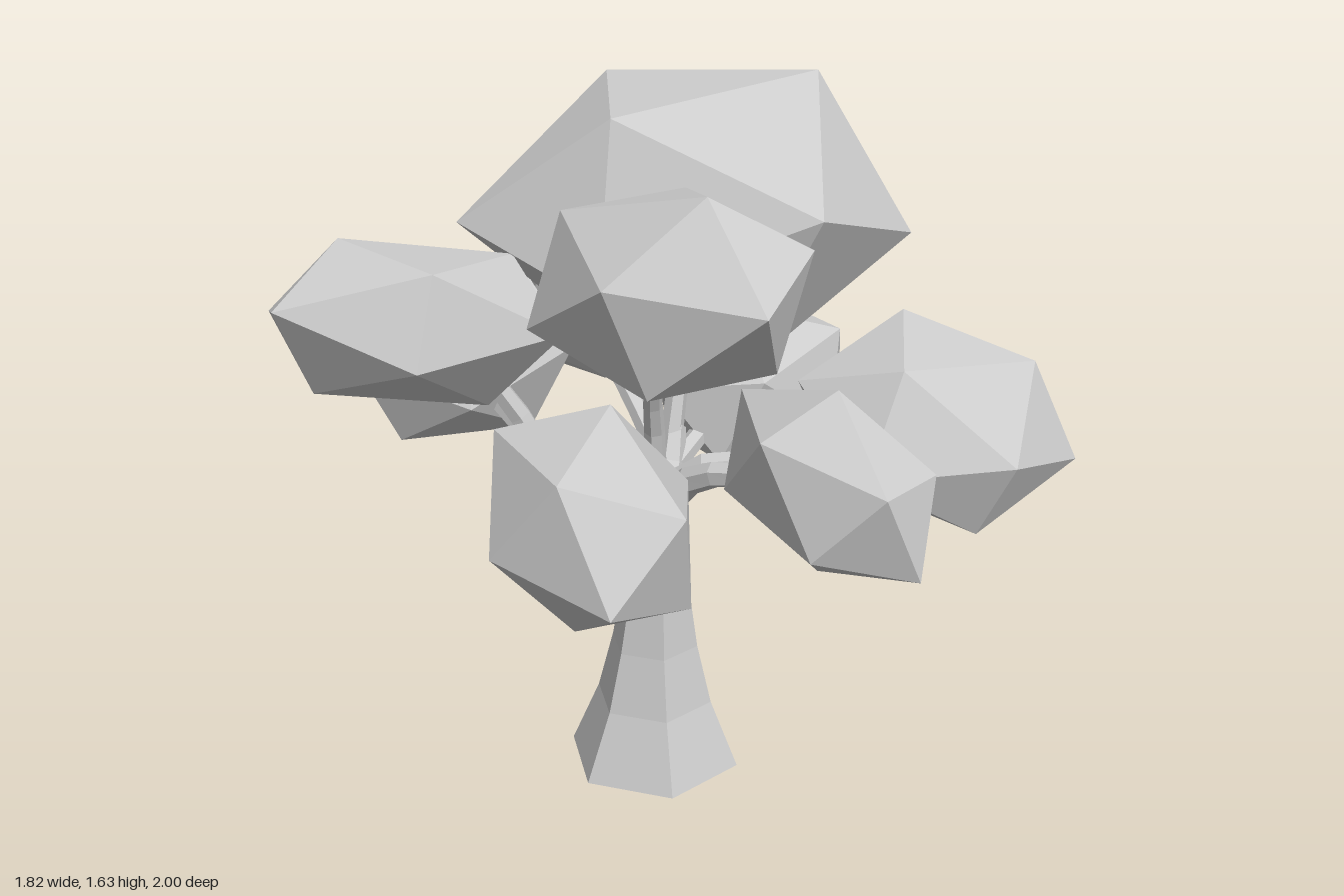
import * as THREE from 'three';
import { ConvexGeometry } from 'three/addons/geometries/ConvexGeometry.js';

const material = new THREE.MeshStandardMaterial({
  color: 0xcccccc, flatShading: true, side: THREE.DoubleSide,
});
const vec = (p) => new THREE.Vector3(...p);

// The 12 corners of an icosahedron; FACE holds three corners of one of its faces.
const PHI = (1 + Math.sqrt(5)) / 2;
const CORNERS = [];
for (const a of [-1, 1]) for (const b of [-PHI, PHI]) {
  CORNERS.push([0, a, b], [b, 0, a], [a, b, 0]);
}
const FACE = [[0, 1, PHI], [PHI, 0, 1], [1, PHI, 0]].map(vec);

// Stretched icosahedron filling the box min..max, skewed so one face has the given corners.
function clumpPoints(min, max, face) {
  const box = new THREE.Box3(vec(min), vec(max));
  const centre = box.getCenter(new THREE.Vector3());
  const target = face.map((p) => vec(p).sub(centre));
  const from = new THREE.Matrix4().makeBasis(...FACE).invert();
  const map = new THREE.Matrix4().makeBasis(...target).multiply(from);
  const points = CORNERS.map((p) => vec(p).applyMatrix4(map));
  const got = new THREE.Box3().setFromPoints(points).getSize(new THREE.Vector3());
  const fit = box.getSize(new THREE.Vector3()).divide(got);
  return points.map((p) => p.multiply(fit).add(centre));
}

// Six-sided limb along a path, narrowing from r0 to r1.
function limb(path, r0, r1) {
  const curve = new THREE.CatmullRomCurve3(path.map(vec));
  const rings = path.length * 2;
  const geo = new THREE.TubeGeometry(curve, rings, 1, 6);
  const pos = geo.attributes.position;
  const v = new THREE.Vector3();
  for (let i = 0; i < pos.count; i++) {
    const t = Math.floor(i / 7) / rings;
    const c = curve.getPointAt(t);
    v.fromBufferAttribute(pos, i).sub(c).multiplyScalar(r0 + (r1 - r0) * t).add(c);
    pos.setXYZ(i, v.x, v.y, v.z);
  }
  geo.computeVertexNormals();
  return geo;
}

// Flared hexagonal trunk, open below: each ring is [x, y, z, radius], from the ground up.
function trunkGeometry() {
  const rings = [
    [-0.063, 0, 0.155, 0.215], [-0.063, 0.17, 0.16, 0.145], [-0.062, 0.32, 0.163, 0.108],
    [-0.06, 0.46, 0.168, 0.085], [-0.06, 0.6, 0.185, 0.075], [-0.06, 0.76, 0.25, 0.05],
  ];
  const n = rings.length - 1;
  const geo = new THREE.CylinderGeometry(1, 1, 1, 6, n, true);
  const pos = geo.attributes.position;
  for (let i = 0; i < pos.count; i++) {
    const [x, y, z, r] = rings[Math.round((pos.getY(i) + 0.5) * n)];
    pos.setXYZ(i, x + pos.getX(i) * r, y, z + pos.getZ(i) * r);
  }
  geo.computeVertexNormals();
  return geo;
}

export function createModel() {
  const tree = new THREE.Group();
  tree.name = 'tree';
  const add = (name, geo) => {
    const mesh = new THREE.Mesh(geo, material);
    mesh.name = name;
    tree.add(mesh);
  };

  add('trunk', trunkGeometry());

  // Main limbs and the twigs that reach into the foliage
  const limbs = {
    backLimb: [[[-0.06, 0.44, 0.15], [-0.05, 0.54, 0.08], [-0.02, 0.59, 0], [0.03, 0.63, -0.1], [0.06, 0.74, -0.17]], 0.06, 0.03],
    backRightTwig: [[[0.03, 0.64, -0.11], [0.14, 0.71, -0.2], [0.3, 0.78, -0.35]], 0.03, 0.02],
    backTwig: [[[0.03, 0.64, -0.11], [-0.04, 0.81, -0.28], [-0.09, 0.89, -0.55]], 0.03, 0.02],
    crownTwig: [[[0.05, 0.72, -0.16], [0.08, 0.9, -0.2], [0.1, 1.1, -0.25]], 0.03, 0.02],
    leftLimb: [[[-0.09, 0.45, 0.15], [-0.16, 0.56, 0.13], [-0.27, 0.7, 0.12], [-0.36, 0.9, 0.11], [-0.5, 1.1, 0.1]], 0.045, 0.02],
    backLeftTwig: [[[-0.26, 0.69, 0.12], [-0.33, 0.8, -0.04], [-0.45, 0.9, -0.25]], 0.03, 0.02],
    crossTwig: [[[-0.06, 0.6, 0.18], [-0.16, 0.61, 0.16], [-0.27, 0.74, 0.12]], 0.02, 0.015],
    frontRightTwig: [[[-0.06, 0.7, 0.23], [0.0, 0.83, 0.36], [0.2, 0.88, 0.55]], 0.04, 0.02],
    rightTwig: [[[-0.06, 0.72, 0.23], [0.02, 0.81, 0.28], [0.16, 0.83, 0.31], [0.45, 0.9, 0.28]], 0.04, 0.02],
    frontLeftTwig: [[[-0.06, 0.7, 0.23], [-0.12, 0.79, 0.38], [-0.26, 0.9, 0.6]], 0.04, 0.02],
    frontTopTwig: [[[-0.07, 0.66, 0.2], [-0.07, 0.85, 0.21], [-0.09, 1.03, 0.28], [-0.1, 1.22, 0.42]], 0.03, 0.015],
  };
  for (const [name, args] of Object.entries(limbs)) add(name, limb(...args));

  // Large crown, wider than deep and slightly irregular
  add('crownFoliage', new ConvexGeometry([
    [0.4, 1.63, -0.14], [-0.08, 1.62, -0.3], [-0.15, 1.59, 0.13],
    [0.64, 1.23, -0.1], [0.31, 1.36, 0.23], [0.43, 1.42, -0.5],
    [-0.48, 1.34, -0.02], [-0.24, 1.25, -0.34], [-0.2, 1.2, 0.22],
    [0.32, 0.98, -0.32], [-0.1, 0.97, -0.2], [0.15, 0.96, 0.1],
  ].map(vec)));

  // Smaller clumps: box min, box max, corners of one face
  const clumps = {
    leftFoliage: [[-0.91, 0.96, -0.13], [-0.28, 1.34, 0.35],
      [[-0.91, 1.24, 0.24], [-0.56, 1.32, 0.29], [-0.61, 1.11, 0.35]]],
    frontTopFoliage: [[-0.38, 1.09, 0.18], [0.17, 1.53, 0.82],
      [[-0.05, 1.53, 0.61], [0.02, 1.34, 0.81], [0.17, 1.41, 0.61]]],
    frontLeftFoliage: [[-0.52, 0.69, 0.4], [-0.08, 1.13, 1.0],
      [[-0.33, 0.83, 1.0], [-0.45, 1.09, 0.9], [-0.08, 0.99, 0.9]]],
    frontRightFoliage: [[0.02, 0.7, 0.35], [0.41, 1.11, 0.88],
      [[0.23, 1.1, 0.615], [0.25, 0.97, 0.87], [0.4, 0.95, 0.725]]],
    rightFoliage: [[0.25, 0.67, 0.08], [0.91, 1.12, 0.53],
      [[0.8, 1.03, 0.32], [0.91, 0.785, 0.35], [0.82, 0.95, 0.09]]],
    backRightFoliage: [[0.03, 0.56, -0.59], [0.6, 1.0, -0.11],
      [[0.6, 0.73, -0.45], [0.54, 0.92, -0.33], [0.49, 0.69, -0.26]]],
    backFoliage: [[-0.25, 0.69, -1.0], [0.12, 1.1, -0.38],
      [[-0.08, 1.04, -0.84], [-0.02, 0.82, -1.0], [0.12, 0.95, -0.8]]],
    backLeftFoliage: [[-0.72, 0.74, -0.5], [-0.19, 1.12, -0.08],
      [[-0.61, 1.08, -0.36], [-0.29, 1.09, -0.36], [-0.45, 0.99, -0.5]]],
  };
  for (const [name, args] of Object.entries(clumps)) {
    add(name, new ConvexGeometry(clumpPoints(...args)));
  }
  return tree;
}
